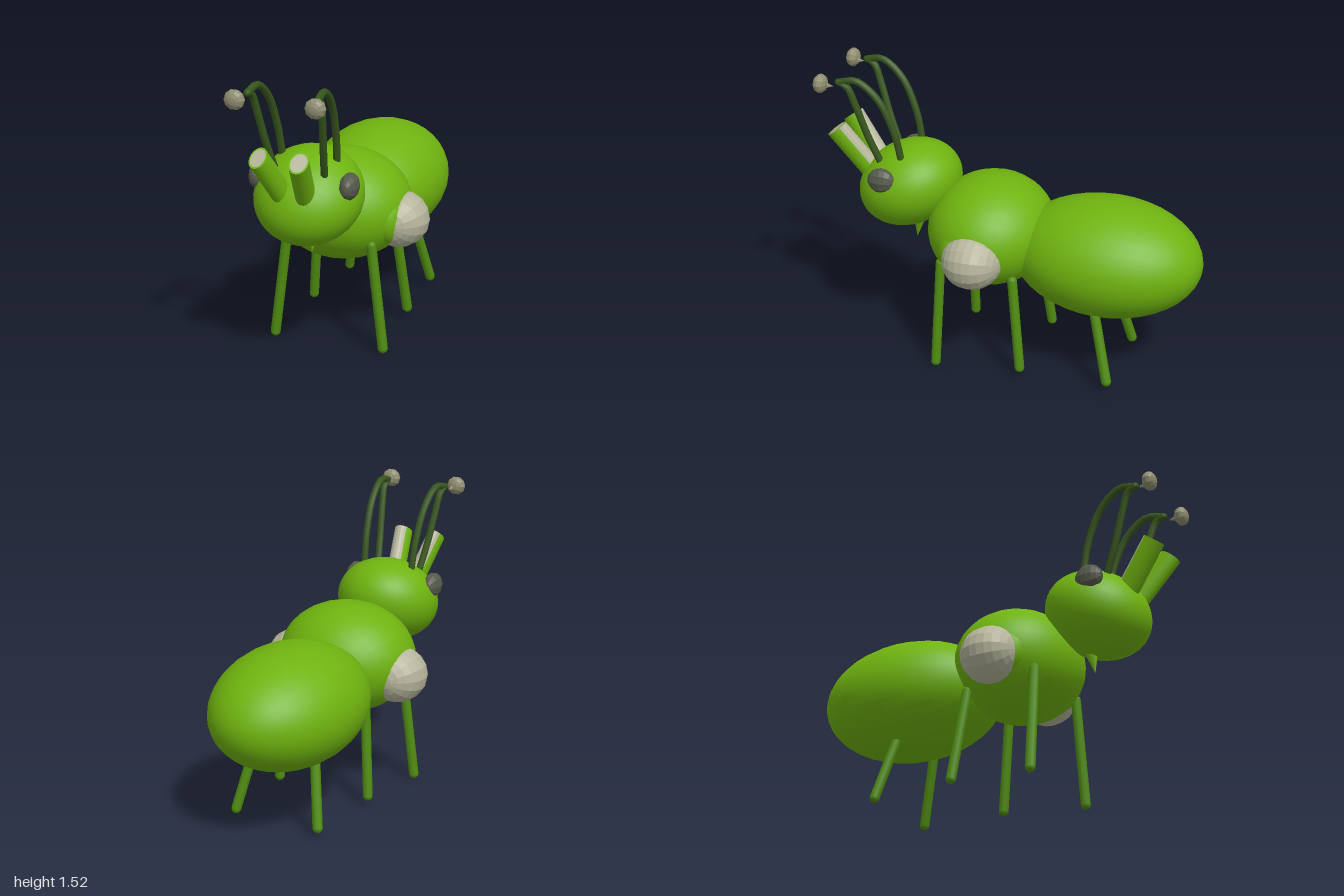
import * as THREE from 'three';

const V = (x, y, z) => new THREE.Vector3(x, y, z);

function mat(name, color, extra = {}) {
  const m = new THREE.MeshStandardMaterial({ color, ...extra });
  m.name = name;
  return m;
}

export function createModel() {
  const model = new THREE.Group();
  model.name = 'ant';
  const green = mat('body green', 0x6fb30f);
  const legGreen = mat('leg green', 0x4f8c10);
  const darkGreen = mat('antenna green', 0x36551c);
  const cream = mat('pad cream', 0xb5b59c, { flatShading: true });
  const tan = mat('bobble tan', 0x8f8e70, { flatShading: true });
  const grey = mat('eye grey', 0x565a4c, { flatShading: true });

  function add(name, geometry, material, parent = model) {
    const mesh = new THREE.Mesh(geometry, material);
    mesh.name = name;
    parent.add(mesh);
    return mesh;
  }

  // Ellipsoid with its poles along z unless told otherwise
  function ellipsoid(name, pos, radii, material, w = 32, h = 20) {
    const geo = new THREE.SphereGeometry(1, w, h);
    geo.rotateX(Math.PI / 2);
    geo.scale(...radii);
    const mesh = add(name, geo, material);
    mesh.position.set(...pos);
    return mesh;
  }

  // Rounded rod between two points
  function rod(name, a, b, radius, material) {
    const d = b.clone().sub(a);
    const geo = new THREE.CapsuleGeometry(radius, d.length() - 2 * radius, 4, 10);
    const mesh = add(name, geo, material);
    mesh.position.copy(a).add(b).multiplyScalar(0.5);
    mesh.quaternion.setFromUnitVectors(V(0, 1, 0), d.normalize());
    return mesh;
  }

  // Body
  ellipsoid('abdomen', [-0.03, 0.648, -0.5], [0.363, 0.307, 0.5], green);
  ellipsoid('thorax', [-0.005, 0.722, 0.115], [0.365, 0.288, 0.33], green);
  ellipsoid('head', [0, 0.913, 0.565], [0.272, 0.22, 0.28], green).rotation.x = 0.44;

  // Chin barb
  const barb = add('chinBarb', new THREE.ConeGeometry(0.035, 0.12, 8), green);
  barb.position.set(0, 0.655, 0.53);
  barb.rotation.x = Math.PI - 0.15;

  // Leg attachment and foot, for the +x side
  const legs = [
    ['frontLeg', [0.225, 0.61, 0.315], [0.3, 0.01, 0.325]],
    ['middleLeg', [0.215, 0.57, -0.07], [0.27, 0.045, -0.135]],
    ['rearLeg', [0.17, 0.42, -0.5], [0.245, 0.04, -0.6]],
  ];

  for (const s of [1, -1]) {
    const side = s > 0 ? 'left' : 'right';

    for (const [name, a, b] of legs) {
      rod(`${side} ${name}`, V(s * a[0], a[1], a[2]), V(s * b[0], b[1], b[2]), 0.026, legGreen);
    }

    // Shoulder pad with a green mount at its front edge
    ellipsoid(`${side} shoulderPad`, [s * 0.3, 0.67, 0.112], [0.16, 0.147, 0.156], cream, 16, 12);
    ellipsoid(`${side} padMount`, [s * 0.275, 0.69, 0.17], [0.088, 0.135, 0.13], green, 20, 14);

    ellipsoid(`${side} eye`, [s * 0.235, 1.005, 0.63], [0.047, 0.068, 0.074], grey, 10, 8);

    // Antenna: a curved stalk and a straighter one meeting at the tip
    const tip = V(s * 0.175, 1.49, 0.87);
    const stalks = [
      [V(s * 0.14, 1.06, 0.55), V(s * 0.15, 1.25, 0.59), V(s * 0.16, 1.42, 0.67), V(s * 0.168, 1.505, 0.78), tip],
      [V(s * 0.125, 1.05, 0.675), V(s * 0.145, 1.2, 0.735), V(s * 0.163, 1.37, 0.79), V(s * 0.172, 1.47, 0.83), tip],
    ];
    stalks.forEach((pts, i) => {
      const curve = new THREE.CatmullRomCurve3(pts);
      add(`${side} antennaStalk${i + 1}`, new THREE.TubeGeometry(curve, 18, 0.019, 8), darkGreen);
    });
    ellipsoid(`${side} antennaEnd`, tip.toArray(), [0.02, 0.02, 0.022], darkGreen, 8, 6);

    // Bobble with a small nub behind it
    const bx = s * 0.2;
    ellipsoid(`${side} bobble`, [bx, 1.48, 0.962], [0.052, 0.05, 0.036], tan, 10, 8);
    const nub = add(`${side} bobbleNub`, new THREE.ConeGeometry(0.02, 0.05, 6), tan);
    nub.position.set(bx - s * 0.01, 1.47, 0.92);
    nub.rotation.x = -Math.PI / 2;

    // Snout tube: green shell, cream strip along its back and a cream end
    const a = V(s * 0.055, 0.94, 0.73);
    const b = V(s * 0.102, 1.2, 0.93);
    const d = b.clone().sub(a);
    const len = d.length();
    const tube = new THREE.Group();
    tube.name = `${side} snoutTube`;
    tube.position.copy(a).add(b).multiplyScalar(0.5);
    tube.quaternion.setFromUnitVectors(V(0, 1, 0), d.normalize());
    tube.scale.set(0.75, 1, 1);
    model.add(tube);
    const half = Math.PI * 0.28;
    const r = 0.061;
    add('tubeShell', new THREE.CylinderGeometry(r, r, len, 14, 1, true, half - Math.PI, 2 * (Math.PI - half)), green, tube);
    add('tubeStrip', new THREE.CylinderGeometry(r, r, len, 6, 1, true, Math.PI - half, 2 * half), cream, tube);
    const rim = add('tubeRim', new THREE.RingGeometry(r * 0.84, r, 20), green, tube);
    const end = add('tubeEnd', new THREE.CircleGeometry(r * 0.84, 20), cream, tube);
    for (const face of [rim, end]) {
      face.rotation.x = -Math.PI / 2;
      face.position.y = len / 2;
    }
  }

  return model;
}
